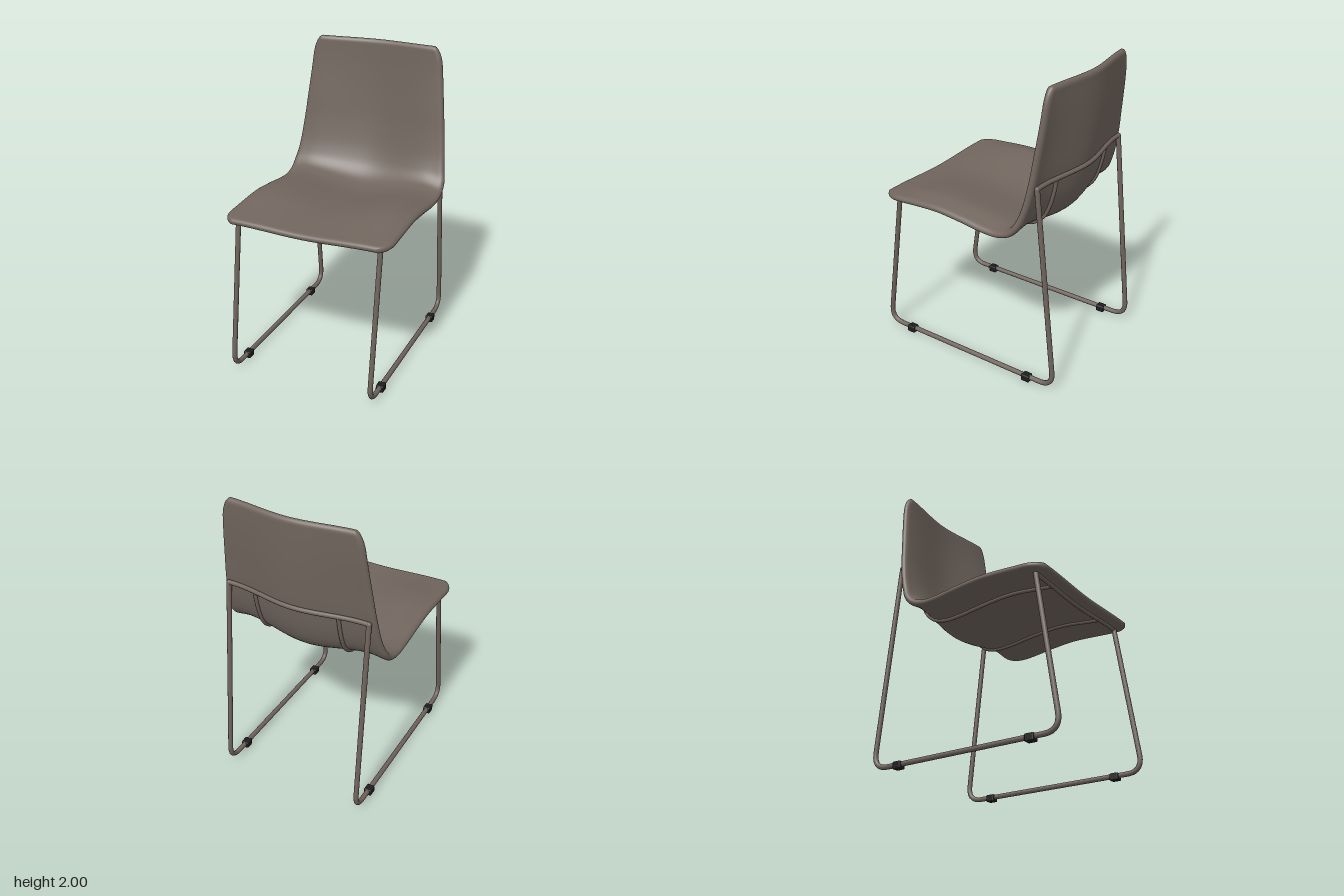
import * as THREE from 'three';
import { mergeVertices } from 'three/addons/utils/BufferGeometryUtils.js';
import { RoundedBoxGeometry } from 'three/addons/geometries/RoundedBoxGeometry.js';

const V = (x, y, z) => new THREE.Vector3(x, y, z);
const smooth = (x, a, b) => THREE.MathUtils.smoothstep(x, a, b);

// Centre line of the shell, from the front of the seat to the top of the back (z, y)
const profile = new THREE.CatmullRomCurve3([
  [0.61, 1.04], [0.45, 1.05], [0.25, 1.055], [0, 1.035], [-0.18, 1.013], [-0.3, 1.01],
  [-0.4, 1.037], [-0.475, 1.105], [-0.522, 1.21], [-0.563, 1.4], [-0.587, 1.6],
  [-0.602, 1.8], [-0.61, 2.0],
].map(([z, y]) => V(0, y, z)), false, 'centripetal');
profile.arcLengthDivisions = 600;
const LENGTH = profile.getLength();
const X = V(1, 0, 0);

// Half width of the shell, with rounded corners at both ends
function halfWidth(s) {
  const y = profile.getPointAt(s).y;
  const full = s < 0.5 ? 0.565 : 0.565 - 0.105 * smooth(y, 1.02, 1.2) * 0.1 - 0.1 * Math.max(0, (y - 1.1) / 0.9);
  const corner = (d, rx, rd) => (d >= rd ? 0 : rx * (1 - Math.sqrt(1 - (1 - d / rd) ** 2)));
  return full - corner(s * LENGTH, 0.09, 0.13) - corner((1 - s) * LENGTH, 0.055, 0.13);
}

// Point on the dished shell at s along the profile and x across, lifted along the normal
function shellPoint(s, x, lift) {
  const p = profile.getPointAt(s);
  const n = X.clone().cross(profile.getTangentAt(s));
  const a = Math.abs(x);
  const depth = 0.015 + 0.045 * smooth(s, 0, 0.25) - 0.015 * smooth(s, 0.75, 1);
  const droop = 0.03 * (1 - smooth(s, 0.4, 0.6)) * smooth(s, 0, 0.2);
  const bow = depth * smooth(a, 0, 0.45) - droop * smooth(a, 0.42, 0.58);
  return p.addScaledVector(n, bow + lift).setX(x);
}

// Closed padded shell: upper and lower skins meeting in a rounded rim
function shellGeometry() {
  const NS = 110, NX = 48, HALF = 0.023, RIM = 0.03;
  const pos = [], index = [];
  for (const side of [1, -1]) {
    const base = pos.length / 3;
    for (let i = 0; i <= NS; i++) {
      const s = (1 - Math.cos((Math.PI * i) / NS)) / 2;
      const w = halfWidth(s);
      for (let j = 0; j <= NX; j++) {
        const x = -w * Math.cos((Math.PI * j) / NX);
        const edge = Math.min(w - Math.abs(x), s * LENGTH, (1 - s) * LENGTH);
        const k = 1 - Math.min(1, Math.max(0, edge / RIM));
        pos.push(...shellPoint(s, x, side * HALF * Math.sqrt(Math.max(0, 1 - k * k))).toArray());
        if (i < NS && j < NX) {
          const a = base + i * (NX + 1) + j, b = a + 1, c = a + NX + 1, d = c + 1;
          if (side > 0) index.push(a, b, c, b, d, c);
          else index.push(a, c, b, b, c, d);
        }
      }
    }
  }
  let g = new THREE.BufferGeometry();
  g.setAttribute('position', new THREE.Float32BufferAttribute(pos, 3));
  g.setIndex(index);
  g = mergeVertices(g, 1e-5);
  g.computeVertexNormals();
  return g;
}

// Position along the profile where a test on the point first holds
function findS(test) {
  let s = 0;
  while (s < 1 && !test(profile.getPointAt(s))) s += 0.002;
  return s;
}

export function createModel() {
  const model = new THREE.Group();
  const shellMat = new THREE.MeshStandardMaterial({ name: 'warm taupe shell', color: 0x71665e });
  const frameMat = new THREE.MeshStandardMaterial({ name: 'taupe metal', color: 0x6f635b });
  const footMat = new THREE.MeshStandardMaterial({ name: 'black plastic', color: 0x1c1c1e });

  const add = (geometry, material, name) => {
    const m = new THREE.Mesh(geometry, material);
    m.name = name;
    model.add(m);
    return m;
  };
  const rod = (points, r, name) =>
    add(new THREE.TubeGeometry(new THREE.CatmullRomCurve3(points), 64, r, 10), frameMat, name);

  add(shellGeometry(), shellMat, 'seatShell');

  // Support rods hugging the underside and back of the shell
  const R = 0.013, UNDER = -0.031, LEG_X = 0.485;
  const sFront = findS((p) => p.z < 0.53);
  const sBack = findS((p) => p.y > 1.39);
  const across = (s) => Array.from({ length: 17 }, (_, i) => shellPoint(s, LEG_X * (i / 8 - 1), UNDER));
  rod(across(sFront), R, 'frontCrossRod');
  const backRod = across(sBack);
  backRod.forEach((p) => { p.y = 1.39; });
  rod(backRod, 0.015, 'backCrossRod');
  for (const x of [-0.29, 0.29]) {
    const run = Array.from({ length: 25 }, (_, i) =>
      shellPoint(THREE.MathUtils.lerp(sFront, sBack, i / 24), x, UNDER + 0.004));
    rod(run, R, 'shellSupportRod');
  }

  // Sled legs: one bent tube on each side with two floor glides
  const frontTop = shellPoint(sFront, LEG_X, UNDER);
  const backTop = backRod[16];
  for (const side of [-1, 1]) {
    const x = side * LEG_X;
    const a = V(x, frontTop.y, frontTop.z), b = V(x, 0.03, 0.674);
    const c = V(x, 0.03, -0.676), d = V(x, backTop.y, backTop.z);
    const near = (from, to) => from.clone().add(to.clone().sub(from).setLength(0.11));
    const path = new THREE.CurvePath();
    path.add(new THREE.LineCurve3(a, near(b, a)));
    path.add(new THREE.QuadraticBezierCurve3(near(b, a), b, near(b, c)));
    path.add(new THREE.LineCurve3(near(b, c), near(c, b)));
    path.add(new THREE.QuadraticBezierCurve3(near(c, b), c, near(c, d)));
    path.add(new THREE.LineCurve3(near(c, d), d));
    add(new THREE.TubeGeometry(path, 160, 0.0165, 12), frameMat, 'sledLeg');
    for (const end of [a, d]) {
      add(new THREE.SphereGeometry(0.0165, 12, 8), frameMat, 'legEnd').position.copy(end);
    }
    for (const z of [0.48, -0.475]) {
      add(new RoundedBoxGeometry(0.052, 0.047, 0.06, 2, 0.008), footMat, 'floorGlide').position.set(x, 0.0235, z);
    }
  }
  return model;
}
